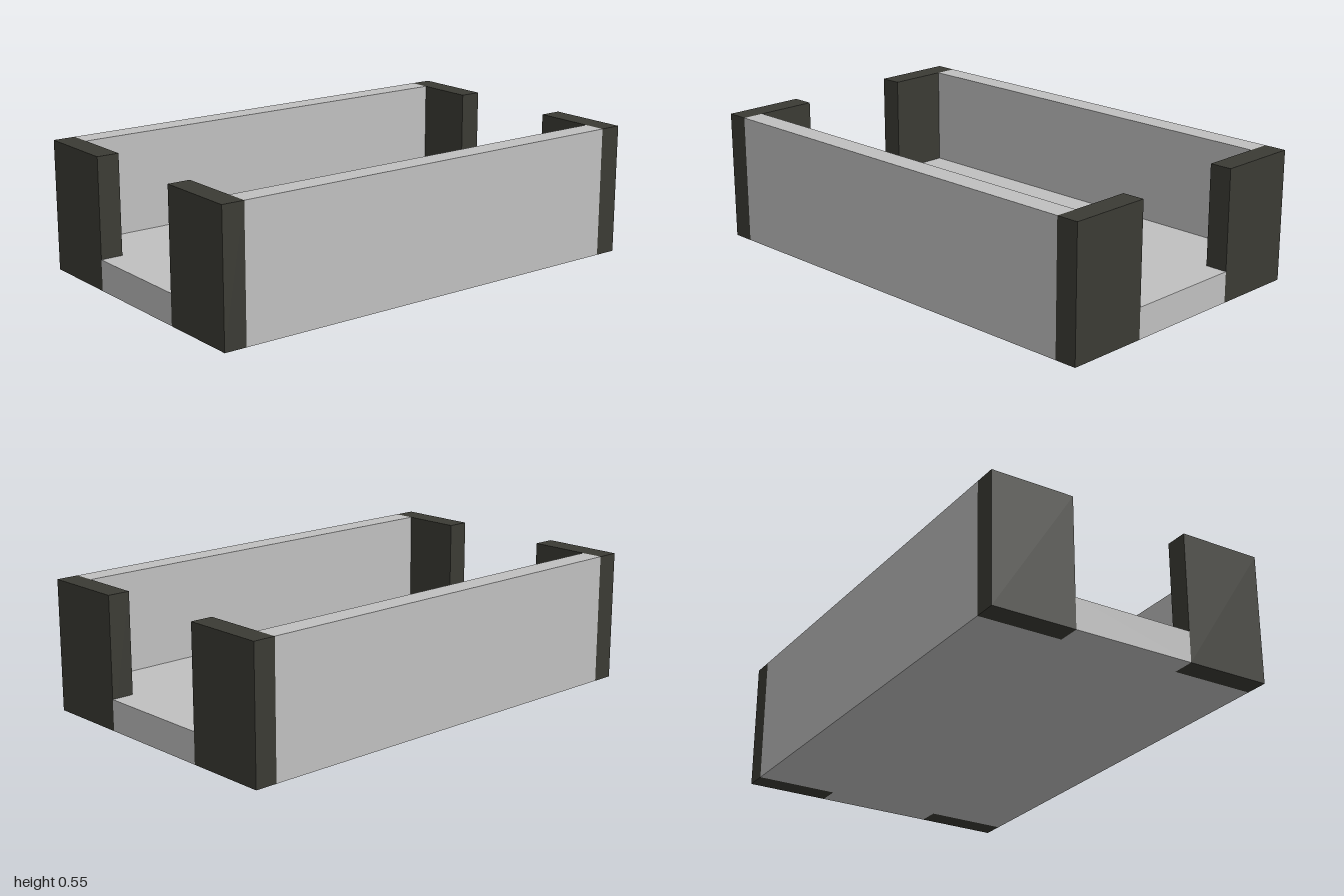
import * as THREE from 'three';

export function createModel() {
  const model = new THREE.Group();
  const grey = new THREE.MeshStandardMaterial({ color: 0xc0c0c0 });
  grey.name = 'light grey';
  const dark = new THREE.MeshStandardMaterial({ color: 0x3b3b34 });
  dark.name = 'dark olive grey';

  const X = 1, Z = 0.612, H = 0.55;        // outer half sizes and wall height
  const T = 0.095, POST = 0.354, FLOOR = 0.13; // wall thickness, post depth, floor height
  const xi = X - T, zi = Z - T, zp = Z - POST;

  function box(name, material, w, h, d, x, z) {
    const mesh = new THREE.Mesh(new THREE.BoxGeometry(w, h, d), material);
    mesh.name = name;
    mesh.position.set(x, h / 2, z);
    model.add(mesh);
  }

  // Floor slab, notched at the corners to fit around the posts
  const outline = [
    [X, -zp], [X, zp], [xi, zp], [xi, zi], [-xi, zi], [-xi, zp],
    [-X, zp], [-X, -zp], [-xi, -zp], [-xi, -zi], [xi, -zi], [xi, -zp],
  ].map(([x, z]) => new THREE.Vector2(x, z));
  const slab = new THREE.ExtrudeGeometry(new THREE.Shape(outline), { depth: FLOOR, bevelEnabled: false });
  slab.rotateX(-Math.PI / 2);
  const floor = new THREE.Mesh(slab, grey);
  floor.name = 'floor';
  model.add(floor);

  // Long walls and corner posts
  for (const sz of [1, -1]) {
    const end = sz > 0 ? 'front' : 'back';
    box(`${end}Wall`, grey, 2 * xi, H, T, 0, sz * (Z - T / 2));
    for (const sx of [1, -1]) {
      const side = sx > 0 ? 'Left' : 'Right';
      box(`${end}${side}Post`, dark, T, H, POST, sx * (X - T / 2), sz * (Z - POST / 2));
    }
  }
  return model;
}
